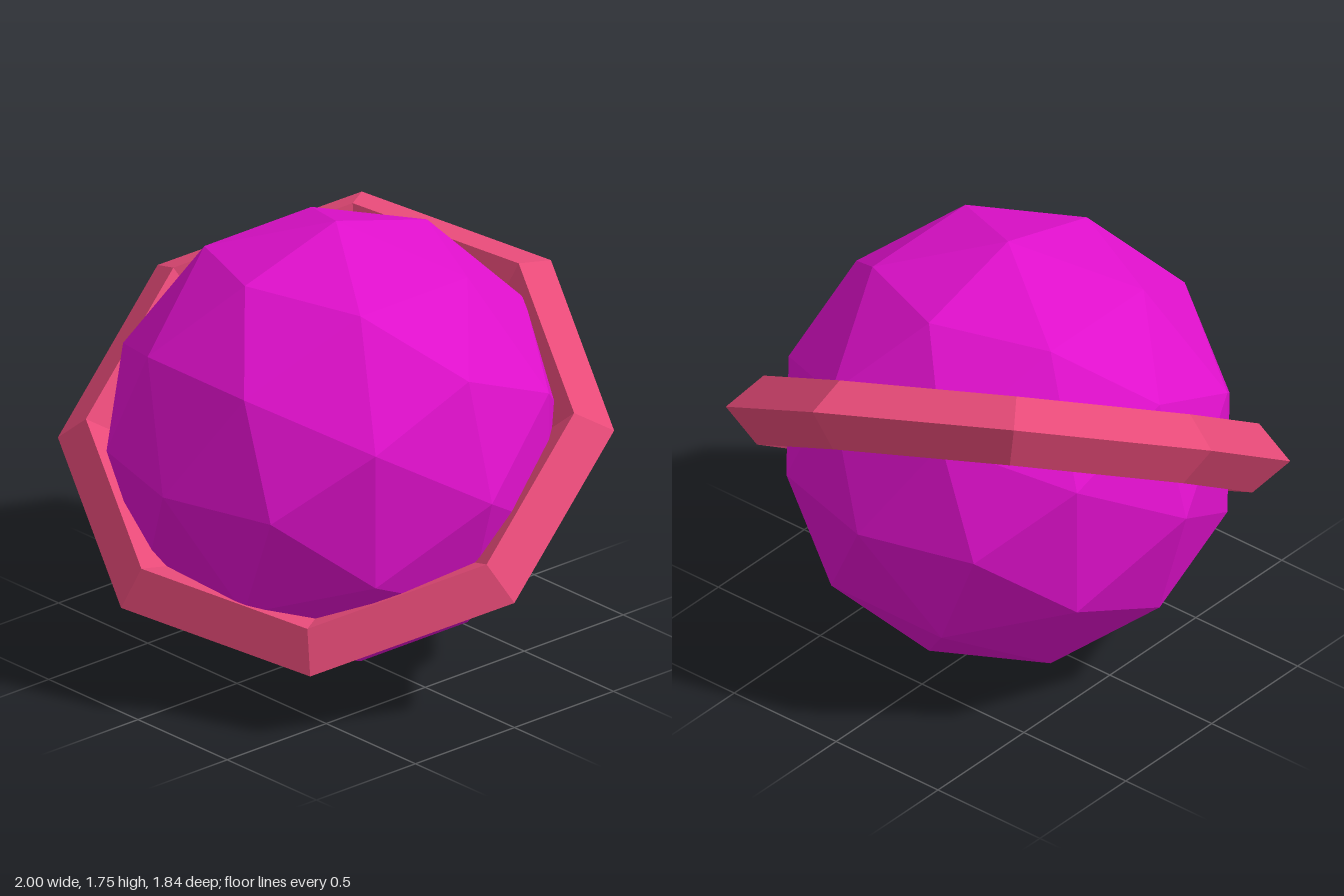
import * as THREE from 'three';

const RADIUS = 0.875;

export function createModel() {
  const model = new THREE.Group();
  model.name = 'ringedPlanet';

  const magenta = new THREE.MeshStandardMaterial({ color: 0xe010cc, flatShading: true });
  magenta.name = 'magenta';
  const rose = new THREE.MeshStandardMaterial({ color: 0xe64a78, flatShading: true });
  rose.name = 'rose';

  // Faceted globe resting on the ground
  const planet = new THREE.Mesh(new THREE.IcosahedronGeometry(RADIUS, 1), magenta);
  planet.name = 'planet';
  planet.rotation.y = Math.PI / 2;
  planet.position.y = RADIUS;
  model.add(planet);

  // Eight-sided ring with a diamond section: pitched forward, then rolled to the side
  const ring = new THREE.Mesh(new THREE.TorusGeometry(0.934, 0.13, 4, 8), rose);
  ring.name = 'ring';
  ring.rotation.set(THREE.MathUtils.degToRad(-60), 0, THREE.MathUtils.degToRad(-20), 'ZYX');
  ring.position.y = RADIUS;
  model.add(ring);

  return model;
}
